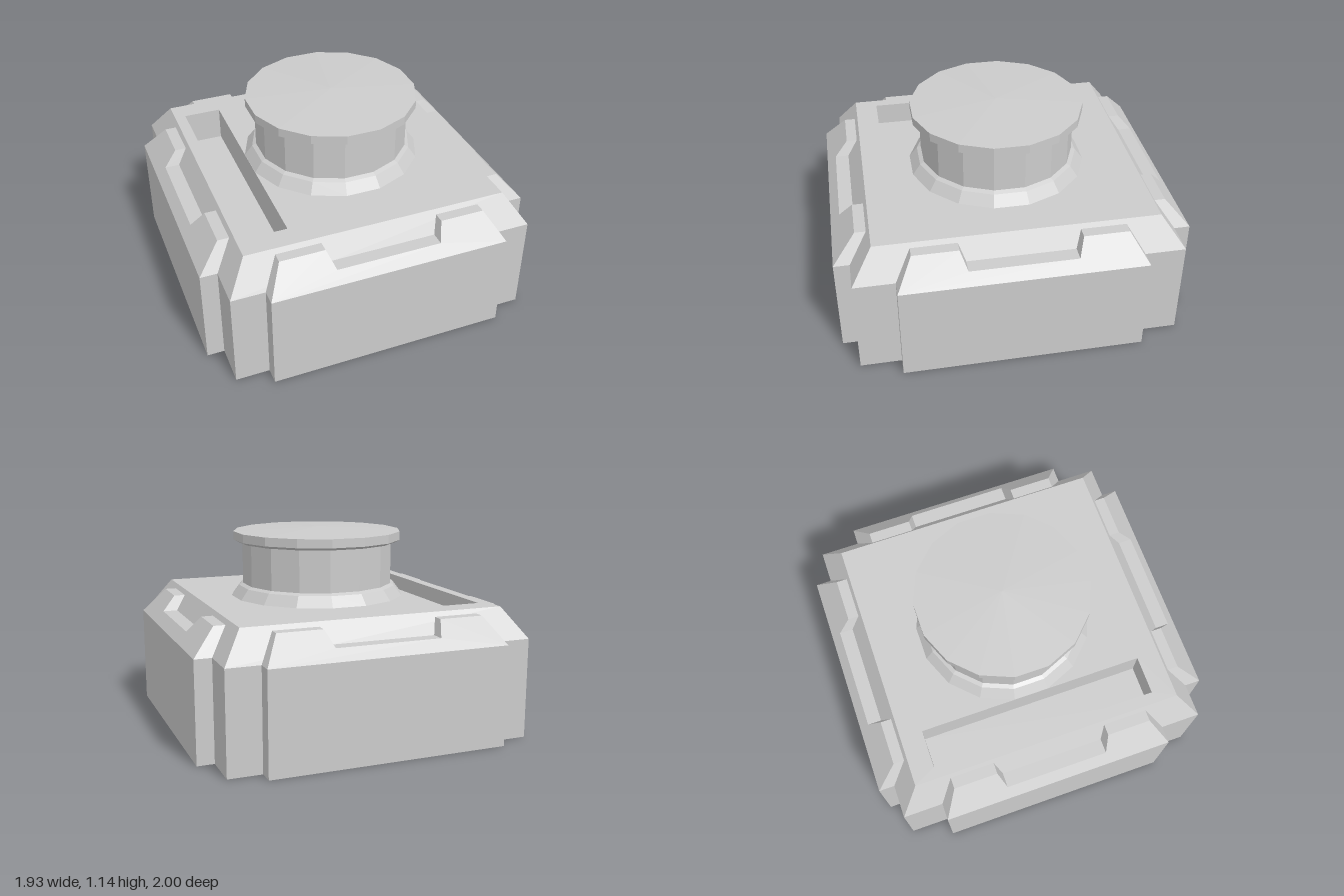
import * as THREE from 'three';

const material = new THREE.MeshStandardMaterial({ color: 0xcccccc, flatShading: true });

function add(parent, name, geometry) {
  const mesh = new THREE.Mesh(geometry, material);
  mesh.name = name;
  parent.add(mesh);
  return mesh;
}

// Lofts rectangular rings [halfX, halfZ, y]; a descending order faces inward.
function loft(rings, capStart, capEnd) {
  const positions = [], index = [];
  for (const [x, z, y] of rings) positions.push(-x, y, z, x, y, z, x, y, -z, -x, y, -z);
  for (let i = 0; i < rings.length - 1; i++) {
    for (let j = 0; j < 4; j++) {
      const a = i * 4 + j, b = i * 4 + (j + 1) % 4;
      index.push(a, b, b + 4, a, b + 4, a + 4);
    }
  }
  const e = (rings.length - 1) * 4;
  if (capStart) index.push(0, 2, 1, 0, 3, 2);
  if (capEnd) index.push(e, e + 1, e + 2, e, e + 2, e + 3);
  const indexed = new THREE.BufferGeometry();
  indexed.setAttribute('position', new THREE.Float32BufferAttribute(positions, 3));
  indexed.setIndex(index);
  const geometry = indexed.toNonIndexed();
  geometry.computeVertexNormals();
  return geometry;
}

const SHOULDER = 0.57, TOP = 0.74;

// Armour plate facing +z: straight lower slab, leaning notched upper part.
function sidePanel(name, outer) {
  const panel = new THREE.Group();
  panel.name = name;
  const inner = 0.72;
  const slab = new THREE.BoxGeometry(1.36, SHOULDER, outer - inner);
  slab.translate(0, SHOULDER / 2, (outer + inner) / 2);
  add(panel, name + 'Slab', slab);

  const outline = [[-0.68, SHOULDER], [0.68, SHOULDER], [0.59, 0.715], [0.335, 0.715],
    [0.3, 0.63], [-0.3, 0.63], [-0.335, 0.715], [-0.59, 0.715]];
  const shape = new THREE.Shape(outline.map(([x, y]) => new THREE.Vector2(x, y)));
  const crest = new THREE.ExtrudeGeometry(shape, { depth: 1, bevelEnabled: false });
  const p = crest.attributes.position;
  for (let i = 0; i < p.count; i++) {
    const lean = (p.getY(i) - SHOULDER) * 0.9;
    p.setZ(i, p.getZ(i) > 0.5 ? outer - lean : inner);
  }
  crest.computeVertexNormals();
  add(panel, name + 'Crest', crest);
  return panel;
}

export function createModel() {
  const model = new THREE.Group();
  model.name = 'turretBase';

  // Body with sloped shoulders, open where the deck sits
  add(model, 'body', loft([[0.87, 0.91, 0], [0.87, 0.91, SHOULDER], [0.755, 0.79, TOP]], true, false));

  // Deck with a long slot
  const slotX = -0.58, slotW = 0.11, slotL = 0.66;
  const rect = (path, cx, w, h) => path.moveTo(cx - w, -h).lineTo(cx + w, -h)
    .lineTo(cx + w, h).lineTo(cx - w, h).closePath();
  const deck = rect(new THREE.Shape(), 0, 0.755, 0.79);
  deck.holes.push(rect(new THREE.Path(), slotX, slotW, slotL));
  const deckGeometry = new THREE.ShapeGeometry(deck);
  deckGeometry.rotateX(-Math.PI / 2).translate(0, TOP, 0);
  add(model, 'deck', deckGeometry);

  // Recess below the slot
  const recess = loft([[slotW, slotL, TOP], [slotW, slotL, TOP - 0.2]], false, true);
  add(model, 'slotRecess', recess.translate(slotX, 0, 0));

  // Four side plates
  [['frontPanel', 1], ['leftPanel', 0.967], ['backPanel', 1], ['rightPanel', 0.967]]
    .forEach(([name, outer], i) => {
      const panel = sidePanel(name, outer);
      panel.rotation.y = i * Math.PI / 2;
      model.add(panel);
    });

  // Sixteen-sided hatch: flared foot, neck, rim and shallow lid
  const sides = 16, grow = 1 / Math.cos(Math.PI / sides);
  const profile = [[0.505, TOP - 0.01], [0.505, TOP], [0.46, 0.8], [0.437, 0.812], [0.437, 1.055],
    [0.46, 1.055], [0.488, 1.07], [0.488, 1.12], [0, 1.14]]
    .map(([r, y]) => new THREE.Vector2(r * grow, y));
  const hatch = add(model, 'hatch', new THREE.LatheGeometry(profile, sides, Math.PI / sides));
  hatch.position.x = 0.036;

  return model;
}
